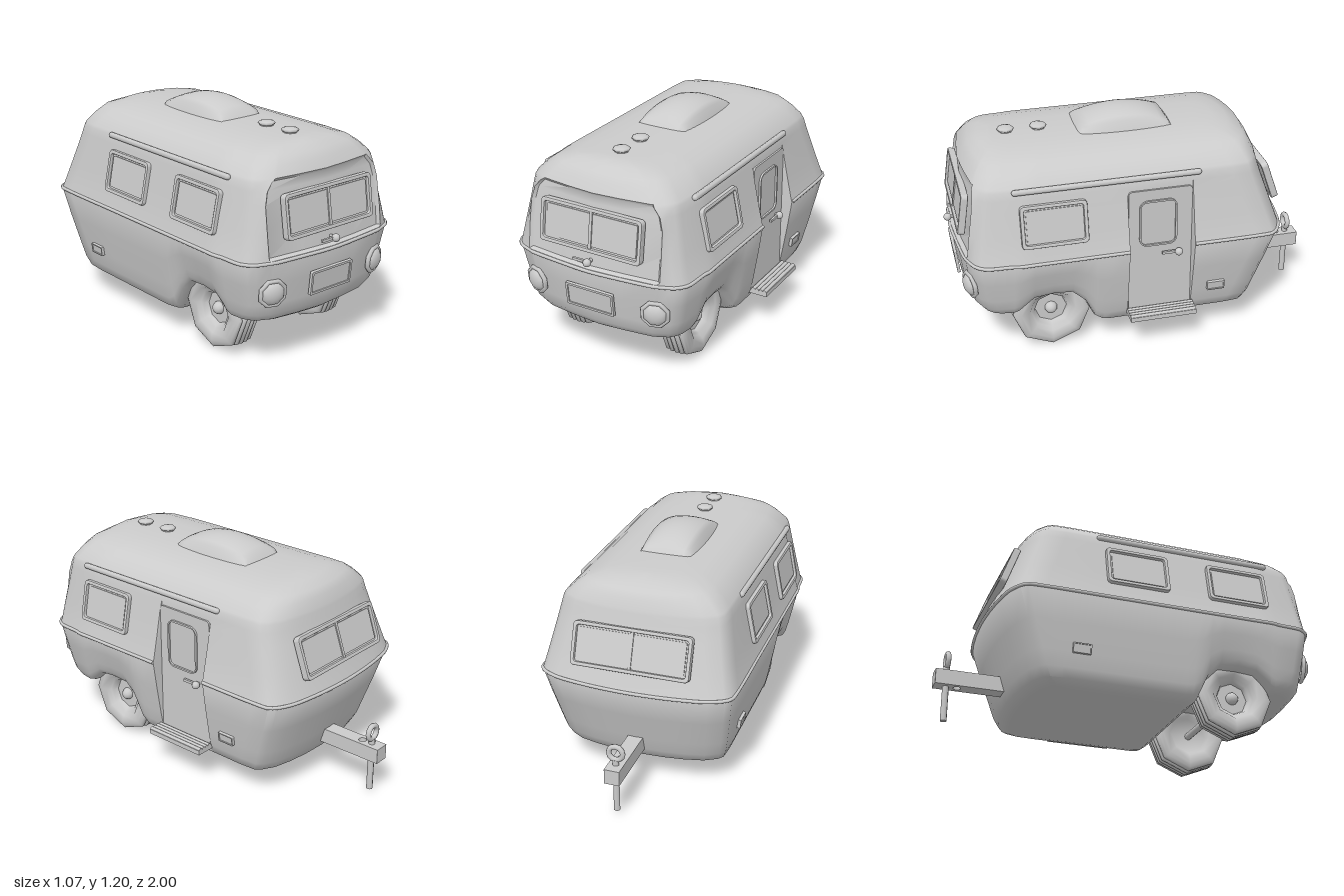
import * as THREE from 'three';
import { toCreasedNormals } from 'three/addons/utils/BufferGeometryUtils.js';

const mat = new THREE.MeshStandardMaterial({ color: 0xcccccc });
const BELT = 0.61, FLOOR = 0.135;

// Horizontal layers of the shell: height, half width, front z, back z, half width of the front panel
const LAYERS = [
  [0.135, 0.34, 0.84, -0.5], [0.145, 0.385, 0.875, -0.57], [0.17, 0.43, 0.9, -0.62],
  [0.22, 0.448, 0.925, -0.645], [0.3, 0.463, 0.935, -0.67], [0.45, 0.487, 0.95, -0.72],
  [0.61, 0.51, 0.965, -0.77], [0.62, 0.507, 0.963, -0.766, 0.366], [0.63, 0.504, 0.961, -0.762, 0.366],
  [0.75, 0.477, 0.945, -0.721, 0.366], [0.88, 0.45, 0.925, -0.676, 0.362], [0.945, 0.437, 0.916, -0.655, 0.345],
  [0.985, 0.428, 0.91, -0.645, 0.31], [1.0, 0.42, 0.902, -0.64, 0.3], [1.047, 0.372, 0.875, -0.618],
  [1.082, 0.325, 0.845, -0.595], [1.108, 0.235, 0.8, -0.53], [1.122, 0.12, 0.76, -0.46],
];
// Plan outline: [share of half width, distance from the end]
const FRONT = [[0, 0], [0.35, 0.012], [0.7, 0.032], [0.73, 0.038], [0.87, 0.065], [0.93, 0.094], [0.965, 0.128]];
const BACK = [[1, 0.2], [0.985, 0.11], [0.93, 0.08], [0.78, 0.043], [0.55, 0.02], [0.3, 0.006], [0, 0]];
// Side stations: [z, underside height], forming the wheel arch
const SIDE = [[0.706, 0.26], [0.68, 0.275], [0.6, 0.345], [0.5, 0.357], [0.4, 0.35], [0.33, 0.28], [0.28, 0.17],
  [0.24, 0.14], [0.2, 0.135], [0.11, 0.135], [0.105, 0.135], [-0.23, 0.135], [-0.235, 0.135]];

// Closed ring of points of one layer, from front centre over +x to the back and round again
function ring([y, w, zf, zb, panel = 0.7 * w]) {
  const warp = (bottom) => y >= BELT ? y : BELT - (BELT - y) * (BELT - bottom) / (BELT - FLOOR);
  const k = y > BELT ? (zf - 0.32) / 0.645 : 1;
  const inset = y > 0.625 && y < 0.99 ? 0.02 : 0; // recessed front panel
  const frontX = (f) => f === 0.7 ? panel : f === 0.73 ? panel + 0.015 : f * w;
  const half = [
    ...FRONT.map(([f, d]) => [frontX(f), warp(0.26), zf - d - (f <= 0.7 ? inset : 0)]),
    ...SIDE.map(([z, b], i) => [i ? w : w * 0.985, warp(b), z > 0.2 ? 0.2 + (z - 0.2) * k : z]),
    ...BACK.map(([f, d]) => [f * w, y, zb + d]),
  ];
  const mirrored = half.slice(1, -1).reverse().map(([x, py, z]) => [-x, py, z]);
  // flat door bay on the +x side only
  const doored = half.map(([x, py, z]) => [z < 0.107 && z > -0.232 ? Math.min(x, 0.44) : x, py, z]);
  return [...doored, ...mirrored];
}

function shellGeometry() {
  const rings = LAYERS.map(ring), n = rings[0].length, last = rings.length - 1, idx = [];
  const quad = (a, b, c, d) => idx.push(a, b, c, a, c, d);
  for (let j = 0; j < last; j++)
    for (let i = 0; i < n; i++) {
      const k = (i + 1) % n;
      quad(j * n + i, j * n + k, (j + 1) * n + k, (j + 1) * n + i);
    }
  // roof and floor strips
  for (let i = 0; i < n / 2; i++) {
    const m = (n - i) % n, t = last * n;
    quad(t + i, t + i + 1, t + n - i - 1, t + m);
    quad(m, n - i - 1, i + 1, i);
  }
  const g = new THREE.BufferGeometry();
  g.setAttribute('position', new THREE.Float32BufferAttribute(rings.flat(2), 3));
  g.setIndex(idx);
  return toCreasedNormals(g, 0.85);
}

function mesh(parent, name, geo, x = 0, y = 0, z = 0) {
  const m = new THREE.Mesh(geo, mat);
  m.name = name;
  m.position.set(x, y, z);
  parent.add(m);
  return m;
}

function roundRect(w, h, r, T = THREE.Shape) {
  const s = new T(), a = w / 2, b = h / 2;
  s.moveTo(-a + r, -b);
  s.lineTo(a - r, -b); s.absarc(a - r, -b + r, r, -Math.PI / 2, 0);
  s.lineTo(a, b - r); s.absarc(a - r, b - r, r, 0, Math.PI / 2);
  s.lineTo(-a + r, b); s.absarc(-a + r, b - r, r, Math.PI / 2, Math.PI);
  s.lineTo(-a, -b + r); s.absarc(-a + r, -b + r, r, Math.PI, Math.PI * 1.5);
  return s;
}

// Rounded plate facing +z; a border turns it into a frame
function plate(w, h, r, depth, border = 0, bevel = 0) {
  const s = roundRect(w, h, r);
  if (border) s.holes.push(roundRect(w - 2 * border, h - 2 * border, r * 0.6, THREE.Path));
  return new THREE.ExtrudeGeometry(s, { depth, curveSegments: 5, bevelEnabled: bevel > 0,
    bevelSize: bevel, bevelThickness: bevel, bevelOffset: -bevel, bevelSegments: 2 });
}

// Group at a point, turned by yaw and leaning back by tilt
function mount(parent, name, x, y, z, yaw = 0, tilt = 0) {
  const g = new THREE.Group();
  g.name = name;
  g.position.set(x, y, z);
  g.rotation.set(-tilt, yaw, 0, 'YXZ');
  parent.add(g);
  return g;
}

function addWindow(g, w, h, split) {
  mesh(g, 'windowFrame', plate(w, h, 0.022, 0.026, 0.02, 0.006), 0, 0, -0.012);
  mesh(g, 'glass', plate(w - 0.06, h - 0.06, 0.008, 0.022), 0, 0, -0.014);
  mesh(g, 'glassBed', plate(w - 0.03, h - 0.03, 0.012, 0.018), 0, 0, -0.015);
  if (split) mesh(g, 'mullion', new THREE.BoxGeometry(0.016, h - 0.03, 0.028));
}

// Round knob with a lever pointing to local -x
function addHandle(g) {
  mesh(g, 'handleKnob', new THREE.SphereGeometry(0.021, 12, 8), 0, 0, 0.028);
  mesh(g, 'handleStem', new THREE.CylinderGeometry(0.01, 0.01, 0.03, 8).rotateX(Math.PI / 2), 0, 0, 0.008);
  mesh(g, 'handleLever', new THREE.BoxGeometry(0.085, 0.014, 0.012), -0.045, 0, 0.02);
}

// Eight-sided tyre with ribs on a crowned tread, and a dished rim
function wheelGeometry() {
  const p = [[0, -0.05], [0.1, -0.05], [0.12, -0.07], [0.165, -0.078], [0.19, -0.072]];
  for (let i = 0; i < 5; i++) {
    const c = (i - 2) * 0.027, r = 0.214 - 2.4 * c * c;
    p.push([r - 0.006, c - 0.012], [r, c - 0.006], [r, c + 0.006], [r - 0.006, c + 0.012]);
  }
  p.push([0.19, 0.072], [0.165, 0.078], [0.125, 0.07], [0.11, 0.05], [0.095, 0.045], [0.085, 0.02], [0, 0.02]);
  return toCreasedNormals(new THREE.LatheGeometry(p.map(([x, y]) => new THREE.Vector2(x, y)), 8), 1.0);
}

export function createModel() {
  const root = new THREE.Group();
  root.name = 'camperTrailer';
  const g = mount(root, 'trailer', -0.012, -0.007, 0);
  const Q = Math.PI / 2;
  mesh(g, 'bodyShell', shellGeometry());

  // belt moulding, running round the body and stopping at the door
  const belt = ring(LAYERS[6]).map((p) => new THREE.Vector3(...p));
  const start = FRONT.length + SIDE.length - 1;
  const path = [...belt.slice(start), ...belt.slice(0, start - 2)];
  mesh(g, 'beltMoulding', new THREE.TubeGeometry(new THREE.CatmullRomCurve3(path), 160, 0.009, 8));

  // windows
  addWindow(mount(g, 'frontWindow', 0, 0.814, 0.92, 0, 0.15), 0.58, 0.225, true);
  addWindow(mount(g, 'backWindow', 0, 0.81, -0.702, Math.PI, 0.34), 0.62, 0.225, true);
  for (const [s, z] of [[1, 0.49], [-1, 0.49], [-1, -0.07]])
    addWindow(mount(g, 'sideWindow', s * 0.467, 0.808, z, s * Q, 0.2), 0.34, 0.225, false);

  // door, handle and step
  const door = mount(g, 'door', 0.44, 0.567, -0.0625, Q);
  mesh(door, 'doorPanel', plate(0.335, 0.71, 0.02, 0.01));
  mesh(door, 'doorWindowFrame', plate(0.2, 0.265, 0.045, 0.02, 0.01), -0.012, 0.165, 0);
  addHandle(mount(door, 'doorHandle', 0.095, -0.012, 0.006));
  const step = mount(g, 'step', 0.485, 0.214, -0.0625);
  mesh(step, 'stepBoard', new THREE.BoxGeometry(0.12, 0.025, 0.355));
  for (let i = 0; i < 4; i++)
    mesh(step, 'stepRib', new THREE.CylinderGeometry(0.011, 0.011, 0.355, 8).rotateX(Q), -0.02 + i * 0.022, 0.012, 0);

  // front fittings
  addHandle(mount(g, 'frontHandle', 0.005, 0.663, 0.948));
  const panel = mount(g, 'frontPlate', 0, 0.455, 0.947, 0, -0.1);
  mesh(panel, 'plateFrame', plate(0.275, 0.125, 0.005, 0.016, 0.012));
  mesh(panel, 'plateFace', plate(0.255, 0.105, 0.003, 0.01));

  for (const s of [1, -1]) {
    // eight-sided lamps
    const lamp = mount(g, 'lamp', s * 0.348, 0.448, 0.915, s * 0.3, -0.08);
    mesh(lamp, 'lampRing', new THREE.TorusGeometry(0.067, 0.012, 6, 8).rotateZ(Math.PI / 8));
    mesh(lamp, 'lampLens', new THREE.SphereGeometry(0.062, 8, 6, 0, Math.PI * 2, 0, Q)
      .rotateX(Q).rotateZ(Math.PI / 8).scale(1, 1, 0.55));

    // gutter rail
    mesh(g, 'gutterRail', new THREE.CapsuleGeometry(0.016, 0.94, 4, 8).rotateX(Q), s * 0.429, 0.986, 0.205);
    // service hatch
    const hatch = mount(g, 'serviceHatch', s * 0.458, 0.32, -0.365, s * Q, -0.12);
    mesh(hatch, 'hatchFrame', plate(0.095, 0.052, 0.004, 0.025, 0.006));
    mesh(hatch, 'hatchLid', plate(0.088, 0.045, 0.003, 0.02));

    // wheel
    const wheel = mount(g, 'wheel', s * 0.305, 0.226, 0.5);
    wheel.rotation.z = -s * Q;
    mesh(wheel, 'tyreAndRim', wheelGeometry());
    mesh(wheel, 'hubCap', new THREE.SphereGeometry(0.034, 10, 8), 0, 0.025, 0);
  }
  mesh(g, 'axle', new THREE.CylinderGeometry(0.02, 0.02, 0.56, 10).rotateZ(Q), 0, 0.222, 0.5);

  // roof dome, its rim sunk into the roof
  const dome = new THREE.PlaneGeometry(2, 2, 12, 14).rotateX(-Q), pos = dome.attributes.position;
  for (let i = 0; i < pos.count; i++) {
    const u = pos.getX(i), v = pos.getZ(i);
    const rise = Math.sqrt(Math.max(0, 1 - u * u)) * Math.pow(Math.max(0, 1 - v * v), 0.75);
    const base = rise < 1e-6 ? 1.1 : 1.122;
    pos.setXYZ(i, u * (0.145 + 0.012 * (1 - v * v)), base + 0.085 * rise, 0.04 + v * 0.262);
  }
  dome.computeVertexNormals();
  mesh(g, 'roofDome', dome);

  // roof vents
  for (const z of [0.475, 0.645]) {
    mesh(g, 'ventNeck', new THREE.CylinderGeometry(0.036, 0.036, 0.02, 8), 0, 1.122, z);
    mesh(g, 'ventCap', new THREE.SphereGeometry(0.046, 8, 6).scale(1, 0.3, 1), 0, 1.135, z);
  }

  // drawbar with a pin hole, lifting eye and stand
  const bar = roundRect(0.08, 0.42, 0.002);
  bar.holes.push(new THREE.Path().absarc(0, 0.09, 0.02, 0, Math.PI * 2));
  mesh(g, 'drawbar', new THREE.ExtrudeGeometry(bar, { depth: 0.08, bevelEnabled: false }).rotateX(-Q), 0, 0.22, -0.79);
  mesh(g, 'stand', new THREE.CylinderGeometry(0.017, 0.017, 0.27, 8), 0, 0.17, -0.938);
  mesh(g, 'liftingEye', new THREE.TorusGeometry(0.037, 0.014, 8, 12), 0, 0.365, -0.938);
  mesh(g, 'eyeNeck', new THREE.CylinderGeometry(0.017, 0.017, 0.04, 8), 0, 0.31, -0.938);
  return root;
}
